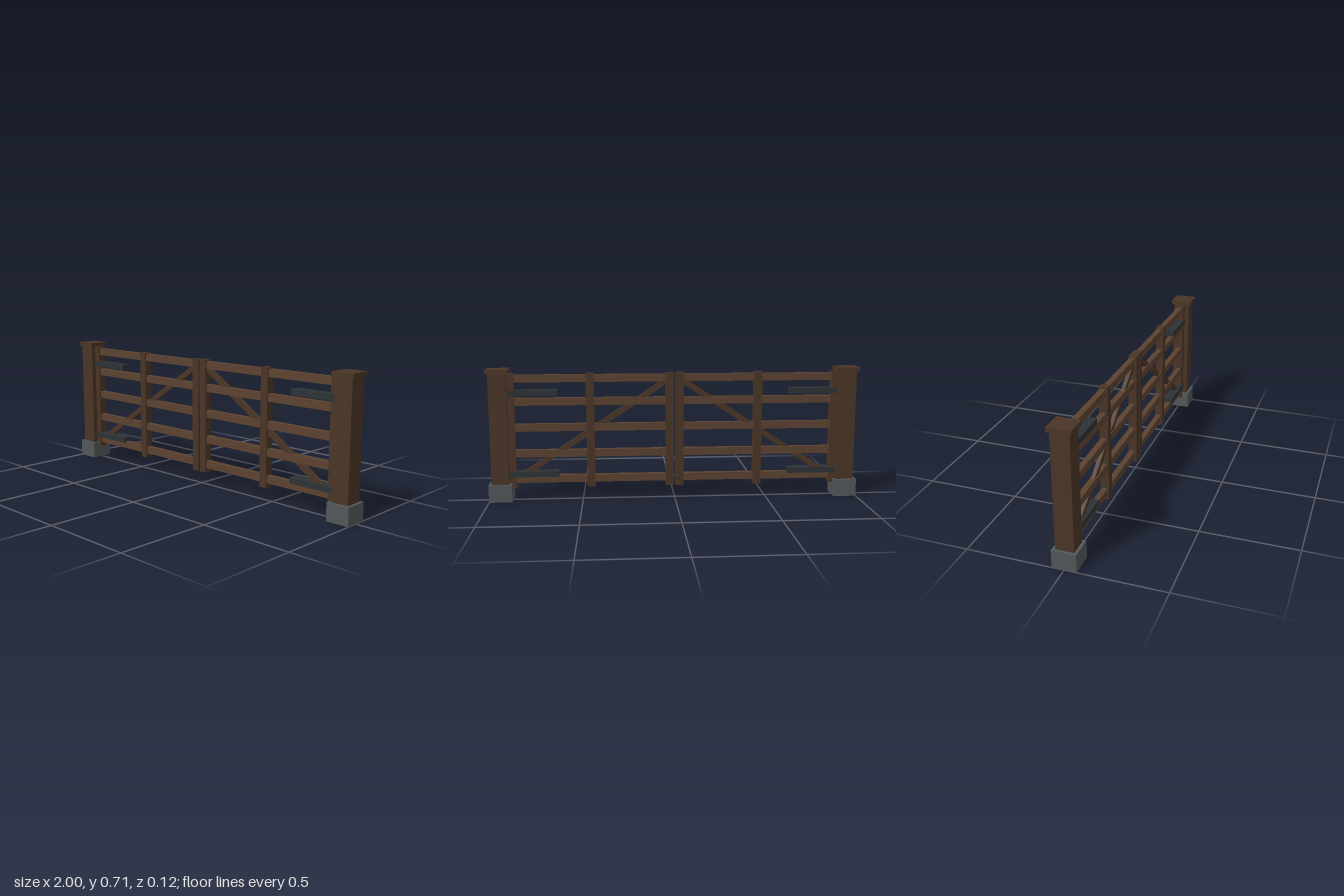
import * as THREE from 'three';

const paint = (color) => new THREE.MeshStandardMaterial({ color });

export function createModel() {
  const gate = new THREE.Group();
  gate.name = 'doubleGate';
  const postWood = paint(0x4a3526);
  const railWood = paint(0x5c4230);
  const stone = paint(0x53575a);
  const iron = paint(0x2c3236);

  // Box given by its minimum and maximum x and y, centred on z = 0
  function bar(parent, name, x0, x1, y0, y1, depth, material) {
    const mesh = new THREE.Mesh(new THREE.BoxGeometry(x1 - x0, y1 - y0, depth), material);
    mesh.position.set((x0 + x1) / 2, (y0 + y1) / 2, 0);
    mesh.name = name;
    parent.add(mesh);
    return mesh;
  }

  for (const side of [-1, 1]) {
    const half = new THREE.Group();
    half.name = side < 0 ? 'rightHalf' : 'leftHalf';
    const add = (name, a, b, y0, y1, depth, material) =>
      bar(half, name, Math.min(side * a, side * b), Math.max(side * a, side * b), y0, y1, depth, material);

    // Gate post with footing and cap
    add('footing', 0.876, 1, 0, 0.094, 0.124, stone);
    add('post', 0.891, 0.985, 0.002, 0.69, 0.094, postWood);
    add('postCap', 0.879, 0.997, 0.69, 0.712, 0.118, postWood);

    // Uprights of the leaf: meeting, middle and hinge stiles
    for (const [name, x] of [['meetingStile', 0.027], ['middleStile', 0.453], ['hingeStile', 0.875]]) {
      add(name, x - 0.0215, x + 0.0215, 0.07, 0.687, 0.044, postWood);
    }

    // Five horizontal rails
    for (const y of [0.115, 0.255, 0.396, 0.536, 0.66]) {
      add('rail', 0.02, 0.875, y - 0.02, y + 0.02, 0.03, railWood);
    }

    // Diagonal brace rising from the hinge side to the meeting stile
    const from = new THREE.Vector2(side * 0.85, 0.115);
    const to = new THREE.Vector2(side * 0.03, 0.652);
    const run = to.clone().sub(from);
    const brace = bar(half, 'brace', -run.length() / 2, run.length() / 2, -0.015, 0.015, 0.02, postWood);
    brace.position.set((from.x + to.x) / 2, (from.y + to.y) / 2, 0);
    brace.rotation.z = Math.atan2(run.y, run.x);

    // Iron hinge straps
    for (const y of [0.143, 0.584]) {
      add('hingeStrap', 0.626, 0.888, y - 0.015, y + 0.015, 0.054, iron);
    }
    gate.add(half);
  }
  return gate;
}
